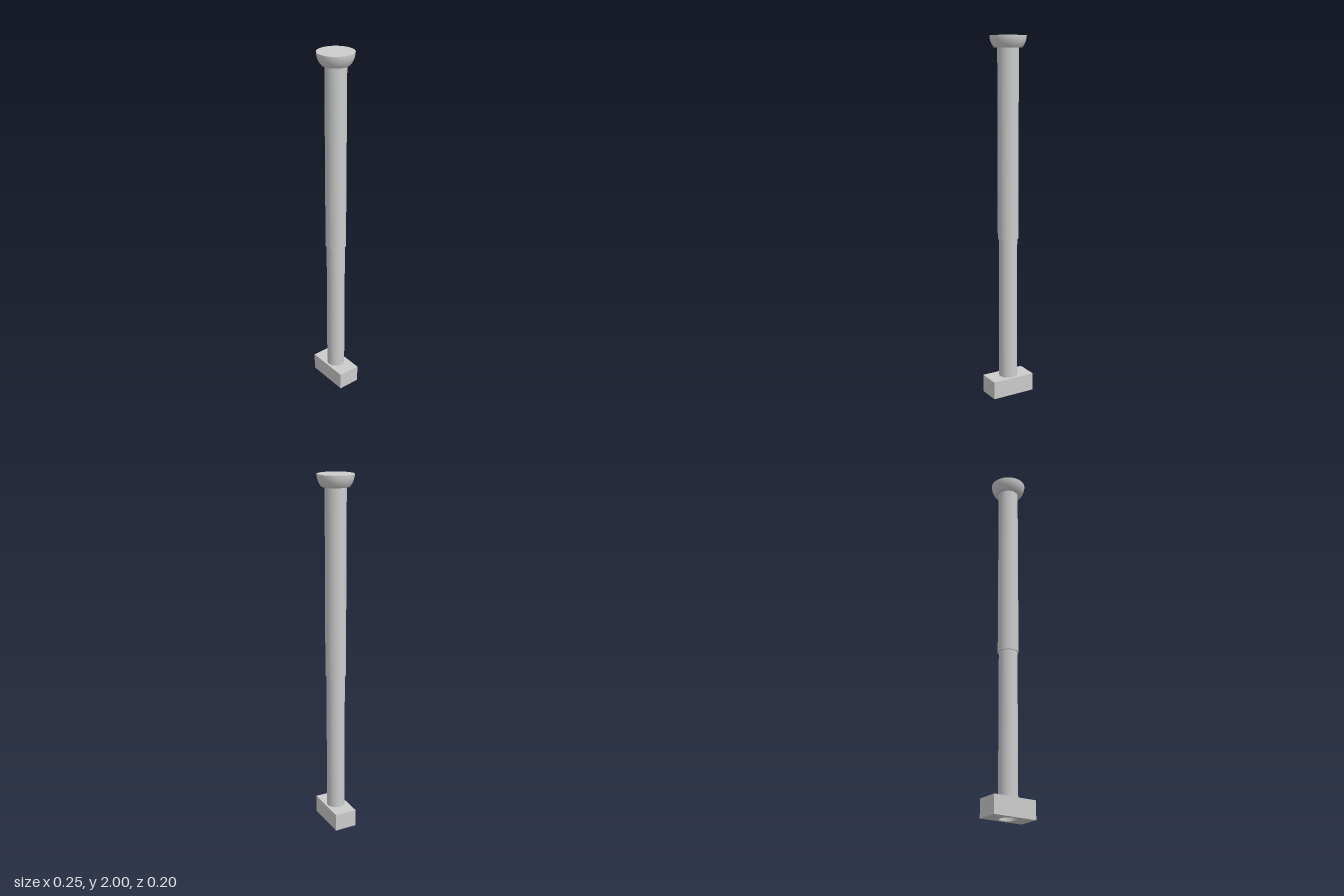
import * as THREE from 'three';

const grey = new THREE.MeshStandardMaterial({ color: 0xcccccc });
const SEGMENTS = 64;
const BORE = 0.046;

function addPart(group, name, geometry) {
  const mesh = new THREE.Mesh(geometry, grey);
  mesh.name = name;
  group.add(mesh);
  return mesh;
}

// Hollow tube: outer wall, inner wall and two ring ends, each with its own sharp edges
function addTube(group, name, outer, inner, y0, y1) {
  const tube = new THREE.Group();
  tube.name = name;
  const corners = [[outer, y0], [outer, y1], [inner, y1], [inner, y0], [outer, y0]]
    .map(([r, y]) => new THREE.Vector2(r, y));
  ['outerWall', 'topRim', 'innerWall', 'bottomRim'].forEach((part, i) =>
    addPart(tube, part, new THREE.LatheGeometry([corners[i], corners[i + 1]], SEGMENTS)));
  group.add(tube);
}

export function createModel() {
  const model = new THREE.Group();
  model.name = 'telescopicPost';

  // Rectangular foot with a round hole through it
  const outline = new THREE.Shape([[-0.127, -0.064], [0.127, -0.064], [0.127, 0.064], [-0.127, 0.064]]
    .map(([x, y]) => new THREE.Vector2(x, y)));
  outline.holes.push(new THREE.Path().absarc(0, 0, BORE, 0, Math.PI * 2, true));
  const foot = new THREE.ExtrudeGeometry(outline, { depth: 0.1, bevelEnabled: false, curveSegments: 32 });
  addPart(model, 'foot', foot.rotateX(-Math.PI / 2));

  // Narrow lower tube sliding inside the wider sleeve
  addTube(model, 'lowerTube', 0.051, BORE, 0.1, 1.9);
  addTube(model, 'upperSleeve', 0.057, 0.051, 0.905, 1.936);

  // Bowl-shaped head: lower half of a sphere, cut flat top and bottom
  const radius = 0.098;
  const cut = Math.asin(0.065 / radius);
  const head = new THREE.Group();
  head.name = 'head';
  head.position.y = 2;
  addPart(head, 'bowl', new THREE.SphereGeometry(radius, SEGMENTS, 16, 0, Math.PI * 2, Math.PI / 2, cut));
  addPart(head, 'topFace', new THREE.CircleGeometry(radius, SEGMENTS).rotateX(-Math.PI / 2));
  const underside = new THREE.CircleGeometry(radius * Math.cos(cut), SEGMENTS).rotateX(Math.PI / 2);
  addPart(head, 'underside', underside).position.y = -0.065;
  model.add(head);

  return model;
}
